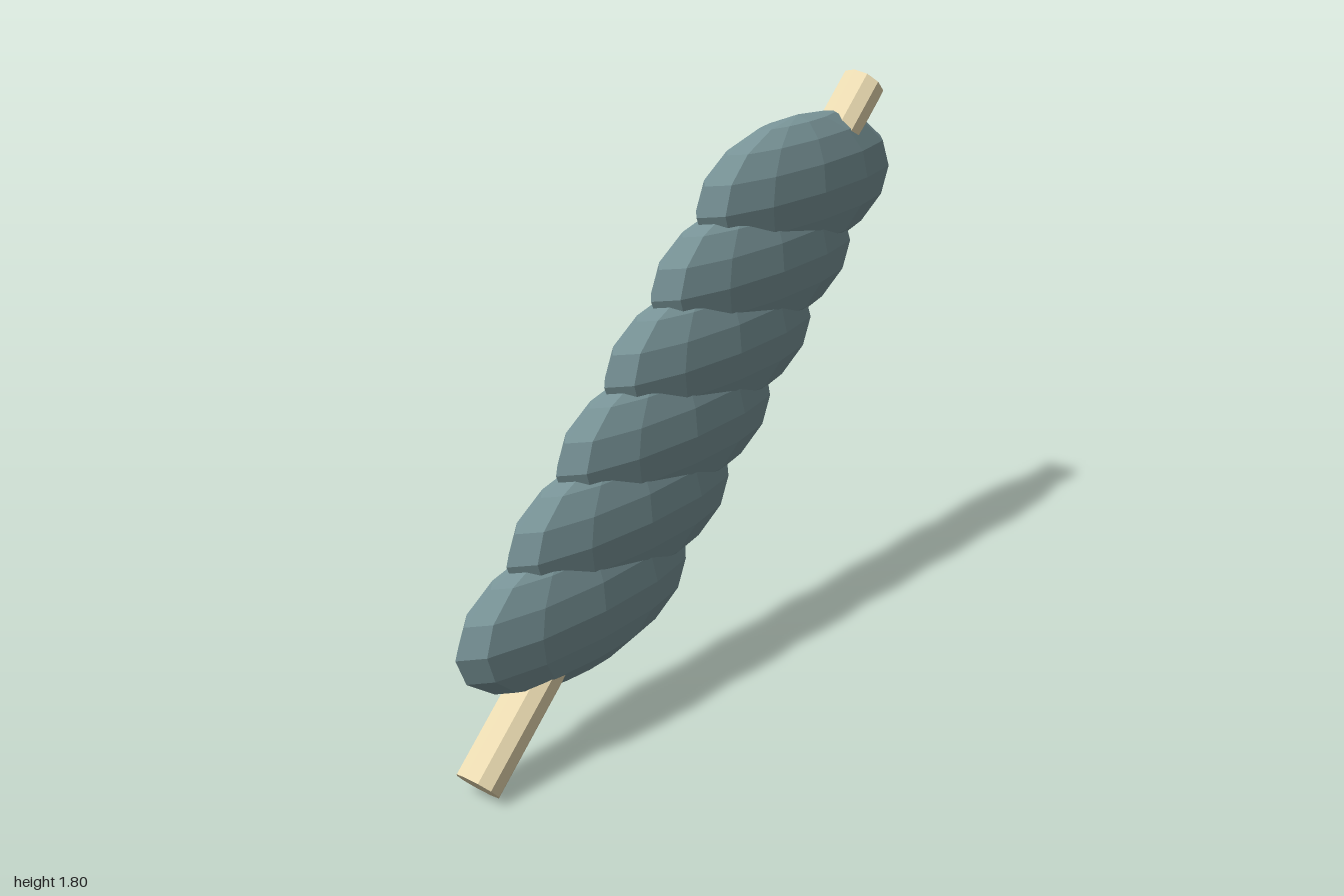
import * as THREE from 'three';

export function createModel() {
  const group = new THREE.Group();
  const coilMat = new THREE.MeshStandardMaterial({ color: 0x7b979b, flatShading: true });
  const stickMat = new THREE.MeshStandardMaterial({ color: 0xecdcb2, flatShading: true });

  // Row of overlapping flattened coils climbing the stick
  const coilGeo = new THREE.SphereGeometry(1, 12, 8).scale(0.485, 0.225, 0.11);
  const first = new THREE.Vector3(-0.515, 0.465, 0);
  const last = new THREE.Vector3(0.507, 1.48, 0);
  const count = 6;
  for (let i = 0; i < count; i++) {
    const coil = new THREE.Mesh(coilGeo, coilMat);
    coil.name = `coil${i + 1}`;
    coil.position.lerpVectors(first, last, i / (count - 1));
    group.add(coil);
  }

  // Slanted ten-sided stick through the coils
  const bottom = new THREE.Vector3(-0.937, 0.052, 0);
  const top = new THREE.Vector3(0.849, 1.748, 0);
  const axis = top.clone().sub(bottom);
  const stick = new THREE.Mesh(
    new THREE.CylinderGeometry(0.07, 0.07, axis.length(), 10, 1, false, Math.PI / 2), stickMat);
  stick.name = 'stick';
  stick.position.copy(bottom).add(top).multiplyScalar(0.5);
  stick.quaternion.setFromUnitVectors(new THREE.Vector3(0, 1, 0), axis.normalize());
  group.add(stick);

  return group;
}
